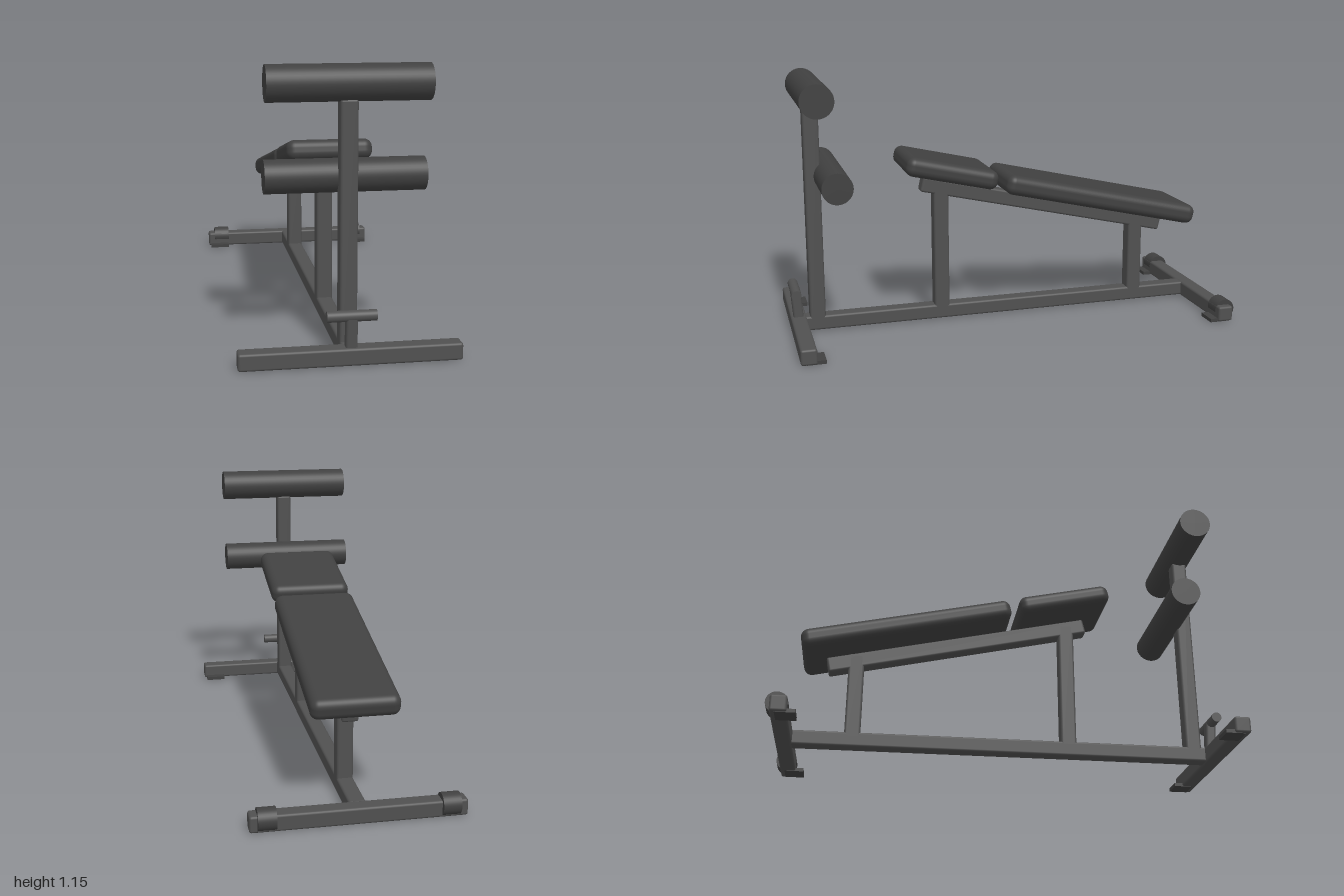
import * as THREE from 'three';
import { RoundedBoxGeometry } from 'three/addons/geometries/RoundedBoxGeometry.js';

export function createModel() {
  const model = new THREE.Group();
  const steel = new THREE.MeshStandardMaterial({ color: 0x505050 });
  const vinyl = new THREE.MeshStandardMaterial({ color: 0x404040 });
  const TILT = -Math.atan(0.2255); // bench slopes down toward the back

  const add = (name, geometry, material, x, y, z, tilt = 0) => {
    const mesh = new THREE.Mesh(geometry, material);
    mesh.name = name;
    mesh.position.set(x, y, z);
    mesh.rotation.x = tilt;
    model.add(mesh);
    return mesh;
  };
  // Square steel tube with softened edges
  const tube = (name, w, h, d, x, y, z, tilt) =>
    add(name, new RoundedBoxGeometry(w, h, d, 2, 0.01), steel, x, y, z, tilt);
  // Cylinder lying along x
  const roller = (name, radius, length, material, x, y, z) =>
    add(name, new THREE.CylinderGeometry(radius, radius, length, 40).rotateZ(Math.PI / 2), material, x, y, z);
  // Upholstered cushion, tilted with the bench
  const cushion = (name, length, thickness, y, z) =>
    add(name, new RoundedBoxGeometry(0.366, thickness, length, 5, 0.035), vinyl, 0, y, z, TILT);

  // Base: two cross beams joined by a spine
  tube('frontCrossBeam', 0.88, 0.07, 0.07, 0, 0.037, 0.965);
  tube('rearCrossBeam', 0.88, 0.07, 0.07, 0, 0.037, -0.945);
  tube('baseSpine', 0.07, 0.066, 1.86, 0, 0.039, 0.01);

  // Uprights and the sloping bench rail
  tube('rollerPost', 0.07, 0.98, 0.07, 0, 0.53, 0.88);
  tube('frontLeg', 0.07, 0.6, 0.07, 0, 0.35, 0.305);
  tube('rearLeg', 0.07, 0.4, 0.07, 0, 0.245, -0.655);
  tube('benchRail', 0.07, 0.07, 1.205, 0, 0.517, -0.195, TILT);

  // Cushions
  cushion('seatCushion', 0.425, 0.086, 0.716, 0.278);
  cushion('backCushion', 0.95, 0.09, 0.55, -0.435);

  // Foam leg rollers
  roller('upperRoller', 0.072, 0.636, vinyl, 0, 1.081, 0.88);
  roller('lowerRoller', 0.067, 0.636, vinyl, 0, 0.714, 0.808);

  // Small lever on the front beam
  tube('leverStem', 0.046, 0.15, 0.044, 0, 0.13, 0.97, 0.08);
  roller('leverHandle', 0.022, 0.195, steel, 0, 0.197, 0.977);

  // Wheels and flat foot plates on both sides
  for (const side of [-1, 1]) {
    roller('wheel', 0.046, 0.075, vinyl, side * 0.37, 0.05, -0.954);
    for (const [name, z] of [['frontFoot', 0.935], ['rearFoot', -0.917]]) {
      add(name, new THREE.BoxGeometry(0.095, 0.016, 0.085), vinyl, side * 0.382, 0.008, z);
    }
  }
  return model;
}
